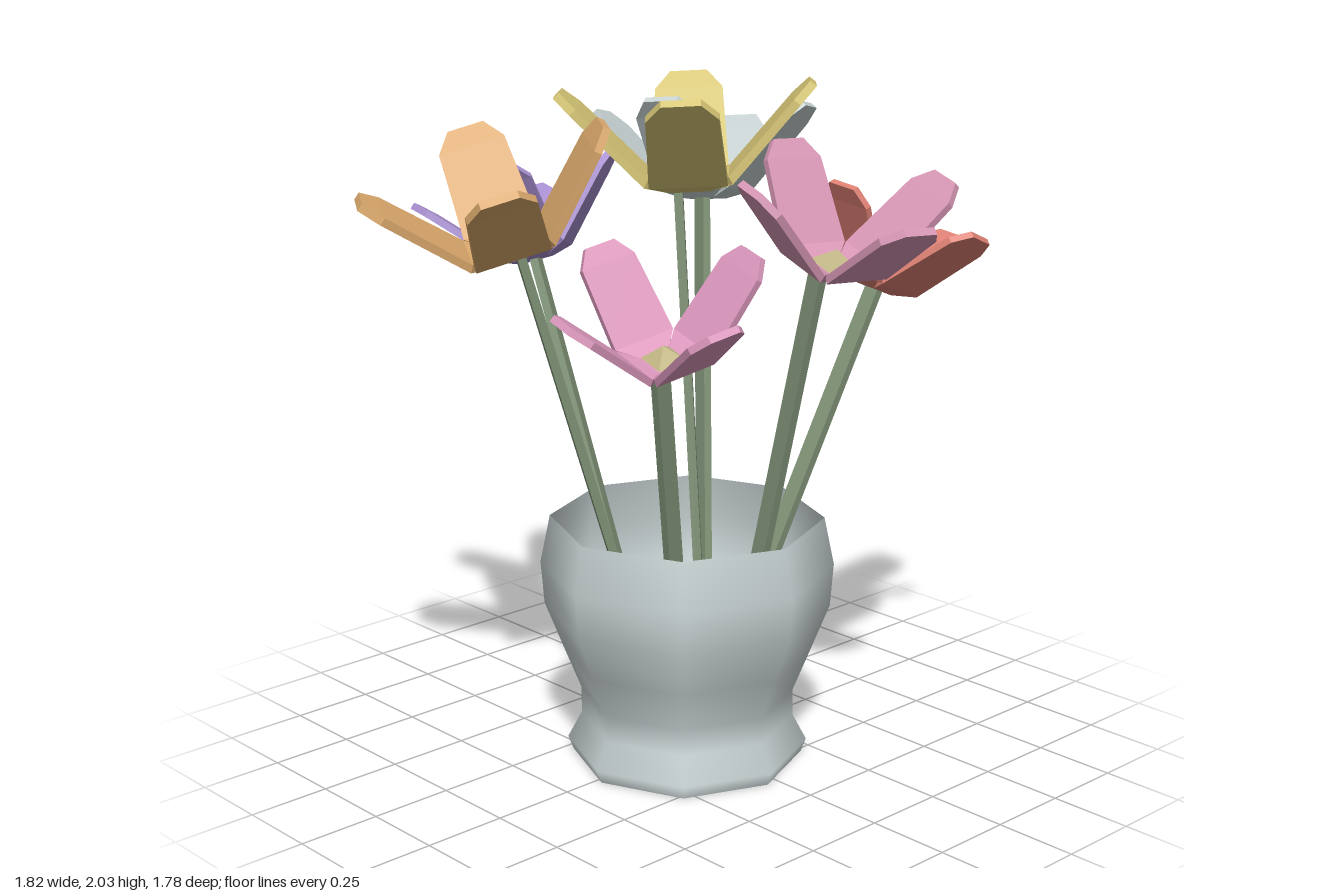
import * as THREE from 'three';

function mat(name, color, side = THREE.FrontSide) {
  const m = new THREE.MeshStandardMaterial({ color, side });
  m.name = name;
  return m;
}

const UP = new THREE.Vector3(0, 1, 0);

// One folded petal along +x: a loft of four rectangular cross-sections.
function petalGeometry() {
  // [distance out, height, half width, thickness offset out, thickness offset down]
  const rows = [
    [0.05, 0, 0.05, 0, 0.022],
    [0.1, 0.02, 0.098, 0.01, 0.02],
    [0.268, 0.2, 0.088, 0.016, 0.014],
    [0.31, 0.24, 0.048, 0.016, 0.014],
  ];
  const loops = rows.map(([u, h, w, du, dh]) => [
    [u, h, -w], [u, h, w], [u + du, h - dh, w], [u + du, h - dh, -w],
  ]);
  const out = [];
  const quad = (a, b, c, d) => out.push(...a, ...b, ...c, ...a, ...c, ...d);
  for (let i = 0; i < loops.length - 1; i++) {
    const a = loops[i], b = loops[i + 1];
    for (let k = 0; k < 4; k++) {
      const n = (k + 1) % 4;
      quad(a[k], a[n], b[n], b[k]);
    }
  }
  const first = loops[0], last = loops[loops.length - 1];
  quad(first[3], first[2], first[1], first[0]);
  quad(last[0], last[1], last[2], last[3]);
  const g = new THREE.BufferGeometry();
  g.setAttribute('position', new THREE.Float32BufferAttribute(out, 3));
  g.computeVertexNormals();
  return g;
}

export function createModel() {
  const model = new THREE.Group();
  model.name = 'flowerVase';

  const ceramic = mat('paleCeramic', 0xc8d2d3, THREE.DoubleSide);
  const stemGreen = mat('stemGreen', 0x83967a);
  const pollen = mat('pollenTan', 0xc6ba88);
  const colours = {
    yellow: mat('yellowPetal', 0xd6c676),
    purple: mat('purplePetal', 0xa88fd0),
    orange: mat('orangePetal', 0xdaa86c),
    white: ceramic,
    red: mat('redPetal', 0xdd8073),
    rose: mat('rosePetal', 0xd797b5),
    pink: mat('pinkPetal', 0xdd99be),
  };

  const add = (parent, name, geometry, material) => {
    const m = new THREE.Mesh(geometry, material);
    m.name = name;
    parent.add(m);
    return m;
  };

  // Eight-sided, thin-walled vase
  const vase = new THREE.Group();
  vase.name = 'vase';
  vase.position.set(-0.04, 0, 0.02);
  model.add(vase);
  const profile = [
    [0.345, 0], [0.36, 0.04], [0.318, 0.12], [0.318, 0.2],
    [0.37, 0.33], [0.425, 0.47], [0.435, 0.6], [0.405, 0.745],
  ].map(([r, y]) => new THREE.Vector2(r, y));
  add(vase, 'vaseWall', new THREE.LatheGeometry(profile, 8), ceramic);
  const floor = new THREE.CircleGeometry(0.345, 8);
  floor.rotateX(Math.PI / 2);
  add(vase, 'vaseBottom', floor, ceramic);

  // colour, bloom centre, stem top x/z, stem x/z at the rim, petal turn, stem turn, scale
  const flowers = [
    ['yellow', [-0.02, 1.74, 0.01], [-0.055, 0], [-0.03, 0.045], 45, 45, 1.13],
    ['purple', [-0.12, 1.46, -0.57], [-0.115, -0.57], [-0.115, -0.28], 46, 35, 0.98],
    ['orange', [-0.53, 1.59, -0.18], [-0.53, -0.13], [-0.27, -0.09], 32, 60, 1.1],
    ['white', [0.36, 1.62, -0.33], [0.335, -0.31], [0.2, -0.16], 65, 80, 1.07],
    ['red', [0.53, 1.4, 0.22], [0.55, 0.215], [0.275, 0.14], -4, 90, 0.95],
    ['rose', [0.06, 1.56, 0.5], [0.02, 0.48], [0.025, 0.28], 12, 85, 1.02],
    ['pink', [-0.48, 1.37, 0.4], [-0.465, 0.365], [-0.31, 0.25], 10, 0, 0.93],
  ];
  const petal = petalGeometry();
  const pyramid = new THREE.ConeGeometry(0.068, 0.045, 4, 1).toNonIndexed();
  pyramid.rotateY(Math.PI / 4);
  pyramid.computeVertexNormals();
  const rimY = 0.75, rootY = 0.06;

  for (const [colour, centre, topXZ, rimXZ, turn, stemTurn, scale] of flowers) {
    // Flat stem, running through the rim point down to the vase floor
    const top = new THREE.Vector3(topXZ[0], centre[1] - 0.01, topXZ[1]);
    const rim = new THREE.Vector3(rimXZ[0], rimY, rimXZ[1]);
    const dir = top.clone().sub(rim).normalize();
    const tilt = new THREE.Quaternion().setFromUnitVectors(UP, dir);
    const length = (top.y - rootY) / dir.y;
    const stem = add(model, colour + 'Stem', new THREE.BoxGeometry(0.05, length, 0.025), stemGreen);
    stem.position.copy(top).addScaledVector(dir, -length / 2);
    stem.quaternion.copy(tilt);
    stem.rotateY(THREE.MathUtils.degToRad(stemTurn));

    // Bloom: square base, pollen pyramid and four folded petals
    const bloom = new THREE.Group();
    bloom.name = colour + 'Bloom';
    bloom.position.set(...centre);
    bloom.quaternion.copy(tilt);
    bloom.rotateY(-THREE.MathUtils.degToRad(turn));
    bloom.scale.setScalar(scale);
    model.add(bloom);
    add(bloom, 'bloomBase', new THREE.BoxGeometry(0.1, 0.022, 0.1), colours[colour]).position.y = -0.011;
    add(bloom, 'pollenCentre', pyramid, pollen).position.y = 0.0235;
    for (let i = 0; i < 4; i++) {
      add(bloom, 'petal', petal, colours[colour]).rotation.y = i * Math.PI / 2;
    }
  }
  return model;
}
